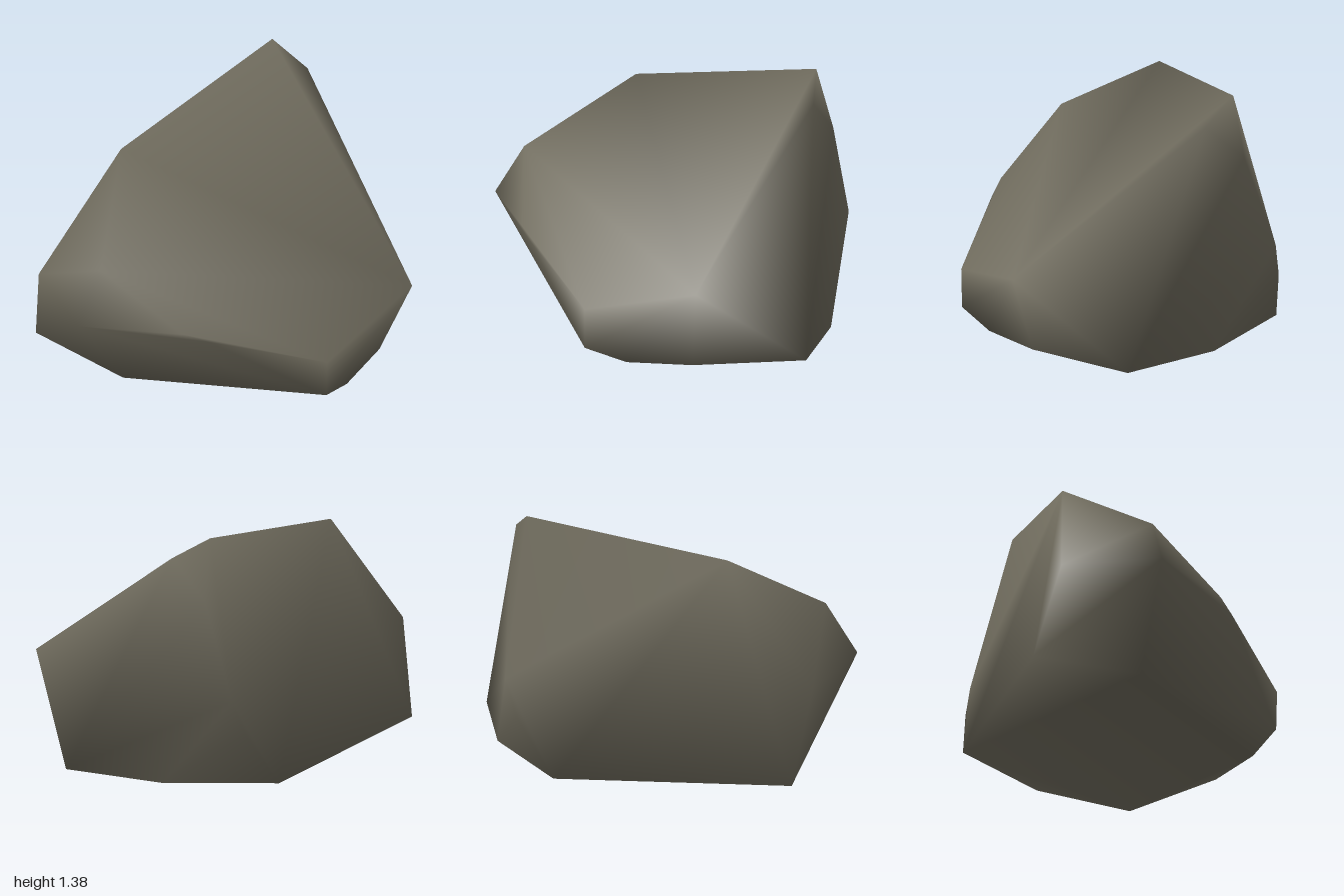
import * as THREE from 'three';
import { ConvexGeometry } from 'three/addons/geometries/ConvexGeometry.js';
import { mergeVertices } from 'three/addons/utils/BufferGeometryUtils.js';

// Corners of the boulder, grouped by where they sit
const base = [
  [-0.66, 0, -0.82], [0.62, 0, -0.74], [0.93, 0, -0.2], [1, 0, 0.36],
  [0.46, 0, 0.65], [0.11, 0, 0.73], [-0.65, 0, -0.2],
];
const frontCorners = [
  [-0.11, 0.07, 0.78], [-0.11, 0.29, 0.785], [0.54, 0.46, 0.815],
  [-0.58, 0.47, 0.35], [-0.67, 0.52, 0.25],
];
const sideCorners = [
  [-1, 0.53, -0.21], [-0.83, 0.81, -0.2], [-0.77, 0.51, -0.7],
  [0.9, 0.52, -0.27], [0.88, 0.52, -0.6], [0.82, 0.32, -0.65], [0.86, 1.05, -0.42],
];
const ridge = [
  [0.77, 1.38, -0.4], [-0.31, 1.18, -0.52], [0.83, 1.25, -0.2], [0.69, 0.98, 0.12],
];

export function createModel() {
  const stone = new THREE.MeshStandardMaterial({ color: 0x6e6a5c });
  stone.name = 'stone';

  // Hull around the corners, welded so the normals run smoothly over every edge
  const points = [...base, ...frontCorners, ...sideCorners, ...ridge]
    .map((p) => new THREE.Vector3(...p));
  const hull = new ConvexGeometry(points);
  hull.deleteAttribute('normal');
  const geometry = mergeVertices(hull, 1e-4);
  geometry.computeVertexNormals();

  const boulder = new THREE.Mesh(geometry, stone);
  boulder.name = 'boulder';
  const group = new THREE.Group();
  group.name = 'rock';
  group.add(boulder);
  return group;
}
